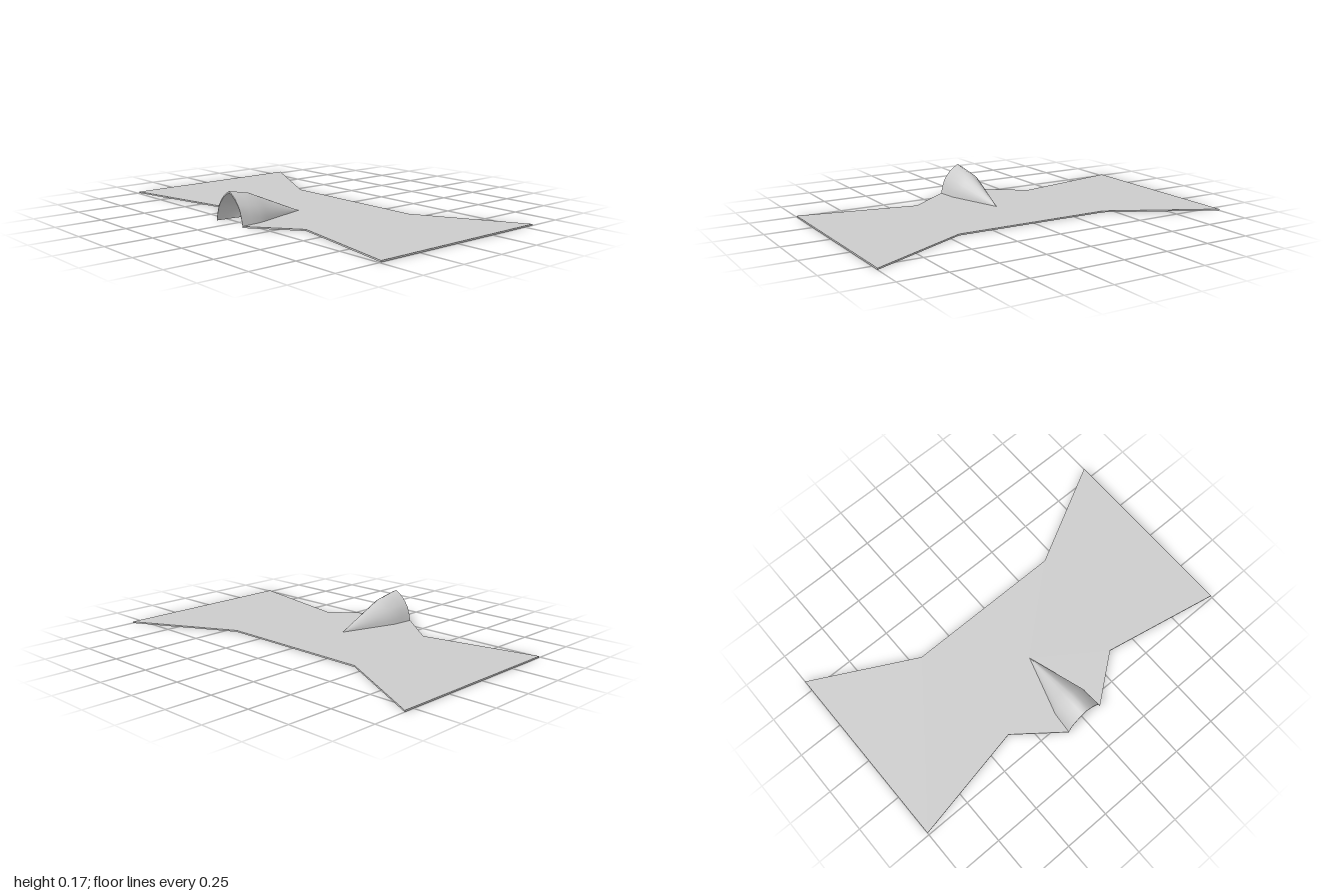
import * as THREE from 'three';

const T = 0.008; // sheet thickness
const material = new THREE.MeshStandardMaterial({ color: 0xcccccc });

// Smooth sheet through rows of points
function sheet(rows, flip) {
  const n = rows[0].length, index = [];
  for (let i = 0; i < rows.length - 1; i++) {
    for (let j = 0; j < n - 1; j++) {
      const a = i * n + j, b = a + n, c = a + 1, d = b + 1;
      index.push(...(flip ? [a, c, b, b, c, d] : [a, b, c, b, d, c]));
    }
  }
  const g = new THREE.BufferGeometry();
  g.setAttribute('position', new THREE.Float32BufferAttribute(rows.flat(2), 3));
  g.setIndex(index);
  g.computeVertexNormals();
  return g;
}

// Arched section: half-profile of [z, height], mirrored across the ridge
function arch(x, half, lift) {
  const left = half.map(([z, y]) => [x, y + lift, z]);
  const right = half.slice(0, -1).reverse().map(([z, y]) => [x, y + lift, -z]);
  return [...left, ...right];
}

export function createModel() {
  const model = new THREE.Group();
  const add = (name, geometry) => {
    const mesh = new THREE.Mesh(geometry, material);
    mesh.name = name;
    model.add(mesh);
  };

  // Flat waisted plate, notched where the hood rises
  const side = [[-0.115, 0], [-0.44, 0.1], [-0.56, 0.11], [-0.365, 0.36],
    [-0.49, 1], [0.56, 1], [0.265, 0.44]];
  const mirrored = side.slice(1).reverse().map(([x, z]) => [x, -z]);
  const outline = [...side, ...mirrored].map(([x, z]) => new THREE.Vector2(x, z));
  const plate = new THREE.ExtrudeGeometry(new THREE.Shape(outline), { depth: T, bevelEnabled: false });
  plate.rotateX(-Math.PI / 2);
  add('plate', plate);

  // Hood sections from the open mouth to the tip
  const mouth = [[0.11, 0], [0.102, 0.036], [0.09, 0.074], [0.073, 0.1], [0.05, 0.127], [0.025, 0.146], [0, 0.16]];
  const shoulder = [[0.1, 0], [0.097, 0.025], [0.088, 0.055], [0.071, 0.083], [0.048, 0.108], [0.024, 0.125], [0, 0.136]];
  const sections = [[-0.56, mouth], [-0.5, mouth.map(([z, y], i) =>
    [(z + shoulder[i][0]) / 2, (y + shoulder[i][1]) / 2])]];
  for (let k = 0; k <= 6; k++) {
    const s = 1 - k / 6;
    sections.push([-0.115 - 0.325 * s, shoulder.map(([z, y]) => [z * s, y * s])]);
  }
  const outer = sections.map(([x, half]) => arch(x, half, T));
  const inner = sections.map(([x, half]) => arch(x, half, 0));
  add('hoodOuter', sheet(outer, false));
  add('hoodInner', sheet(inner, true));
  add('hoodRim', sheet([outer[0], inner[0]], true));

  return model;
}
